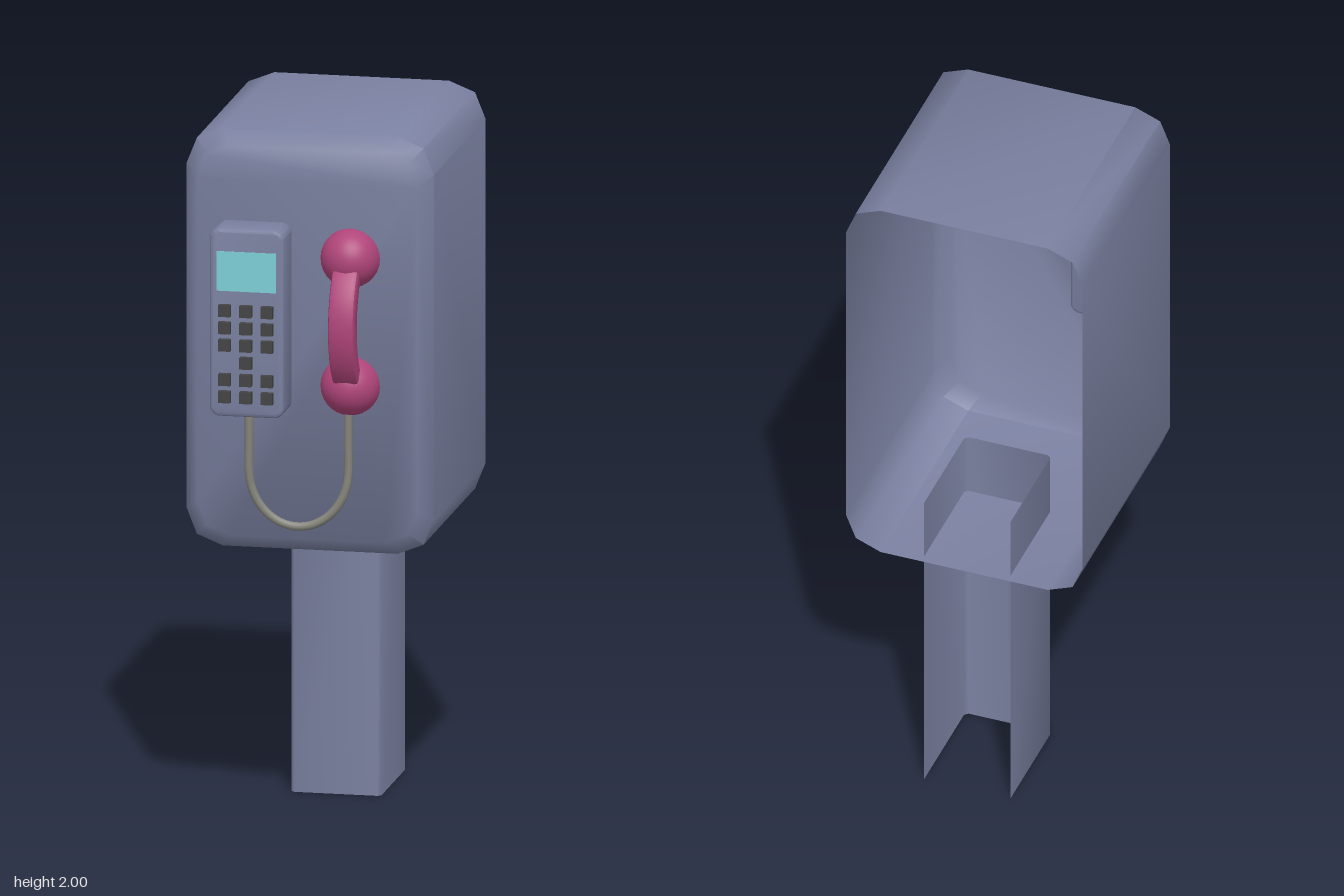
import * as THREE from 'three';
import { toCreasedNormals } from 'three/addons/utils/BufferGeometryUtils.js';

const paint = (color, side = THREE.FrontSide) => new THREE.MeshStandardMaterial({ color, side });

function add(group, name, geometry, material, x = 0, y = 0, z = 0) {
  const mesh = new THREE.Mesh(geometry, material);
  mesh.name = name;
  mesh.position.set(x, y, z);
  group.add(mesh);
  return mesh;
}

// Joins equal rings of points with quads; can cap the last ring with a fan.
function loft(rings, closed, cap) {
  const n = rings[0].length, index = [];
  for (let r = 0; r < rings.length - 1; r++) {
    for (let i = 0; i < (closed ? n : n - 1); i++) {
      const j = (i + 1) % n, a = r * n + i, b = r * n + j;
      index.push(a, b, b + n, a, b + n, a + n);
    }
  }
  const last = (rings.length - 1) * n;
  if (cap) for (let i = 1; i < n - 1; i++) index.push(last, last + i, last + i + 1);
  const g = new THREE.BufferGeometry();
  g.setAttribute('position', new THREE.Float32BufferAttribute(rings.flat(2), 3));
  g.setIndex(index);
  return toCreasedNormals(g, 0.9);
}

function roundedRect(w, h, r) {
  const s = new THREE.Shape(), x = w / 2 - r, y = h / 2 - r;
  s.absarc(x, y, r, 0, Math.PI / 2);
  s.absarc(-x, y, r, Math.PI / 2, Math.PI);
  s.absarc(-x, -y, r, Math.PI, Math.PI * 1.5);
  s.absarc(x, -y, r, Math.PI * 1.5, Math.PI * 2);
  s.closePath();
  return s;
}

export function createModel() {
  const model = new THREE.Group();
  model.name = 'payPhone';
  const shell = paint(0x7a80a0, THREE.DoubleSide);
  const pink = paint(0xb0457a);
  const dark = paint(0x444444);

  // Hood: thin shell, open at the back, bevelled round the front
  const cy = 1.395, hw = 0.357, hh = 0.605;
  const corner = [[hw, hh - 0.105], [hw - 0.03, hh - 0.03], [hw - 0.105, hh]];
  const flip = (sx, sy) => corner.map(([x, y]) => [x * sx, y * sy]);
  const outline = [...flip(1, 1), ...flip(-1, 1).reverse(), ...flip(-1, -1), ...flip(1, -1).reverse()];
  const ring = (inset, z) => outline.map(([x, y]) =>
    [x * (1 - inset / hw), cy + y * (1 - inset / hh), z]);
  add(model, 'hood', loft([ring(0, -0.455), ring(0, 0.25), ring(0.04, 0.29)], true, true), shell);

  // Post: channel open at the back, top and bottom
  const channel = [[0.13, -0.43], [0.13, -0.11], [0.12, -0.1], [-0.12, -0.1], [-0.13, -0.11], [-0.13, -0.43]];
  const level = y => channel.map(([x, z]) => [x, y, z]).reverse();
  add(model, 'post', loft([level(0), level(0.98)], false, false), shell);

  // Keypad unit with screen and buttons
  const keypad = new THREE.Group();
  keypad.name = 'keypad';
  keypad.position.set(-0.1525, 1.4725, 0.285);
  model.add(keypad);
  const bevel = 0.01;
  const housing = new THREE.ExtrudeGeometry(roundedRect(0.215, 0.545, 0.03), {
    depth: 0.115 - bevel, bevelThickness: bevel, bevelSize: bevel, bevelOffset: -bevel,
    bevelSegments: 3, curveSegments: 5,
  });
  add(keypad, 'keypadHousing', toCreasedNormals(housing, 0.7), paint(0x7a80a0));
  add(keypad, 'screen', new THREE.BoxGeometry(0.172, 0.115, 0.006), paint(0x7fd0d8), 0, 0.15, 0.1135);
  const button = new THREE.BoxGeometry(0.034, 0.034, 0.022);
  for (let row = 0; row < 6; row++) {
    for (let col = -1; col <= 1; col++) {
      if (row === 3 && col !== 0) continue;
      add(keypad, 'button', button, dark, col * 0.061, 0.0375 - row * 0.05, 0.122);
    }
  }

  // Handset: curved grip between two half-sphere cups
  const handset = new THREE.Group();
  handset.name = 'handset';
  handset.position.set(0.13, 1.473, 0);
  model.add(handset);
  const arc = 0.86, b = 0.012, width = 0.076;
  const gripShape = new THREE.Shape();
  gripShape.absarc(0.211, 0, 0.244, -arc, arc, false);
  gripShape.absarc(0.211, 0, 0.187, arc, -arc, true);
  gripShape.closePath();
  const grip = new THREE.ExtrudeGeometry(gripShape, {
    depth: width - 2 * b, bevelThickness: b, bevelSize: b, bevelOffset: -b,
    bevelSegments: 2, curveSegments: 16,
  });
  grip.translate(0, 0, -(width - 2 * b) / 2).rotateY(-Math.PI / 2);
  add(handset, 'grip', toCreasedNormals(grip, 0.7), pink);
  const dome = new THREE.SphereGeometry(0.085, 28, 10, 0, Math.PI * 2, 0, Math.PI / 2).rotateX(Math.PI / 2);
  const disc = new THREE.CircleGeometry(0.085, 28).rotateY(Math.PI);
  for (const s of [1, -1]) {
    add(handset, 'cup', dome, pink, 0, s * 0.185, 0.315);
    add(handset, 'cupFace', disc, pink, 0, s * 0.185, 0.315);
  }

  // Cord: hangs in a U from the keypad to the lower cup
  const points = [new THREE.Vector3(-0.152, 1.22, 0.367), new THREE.Vector3(-0.152, 1.12, 0.367)];
  for (let i = 0; i <= 12; i++) {
    const t = Math.PI * (1 + i / 12);
    points.push(new THREE.Vector3(-0.012 + 0.14 * Math.cos(t), 1.04 + 0.16 * Math.sin(t), 0.367 - 0.03 * i / 12));
  }
  points.push(new THREE.Vector3(0.128, 1.12, 0.337), new THREE.Vector3(0.128, 1.25, 0.337));
  const cord = new THREE.TubeGeometry(new THREE.CatmullRomCurve3(points), 60, 0.0125, 8);
  add(model, 'cord', cord, paint(0x85857c));

  return model;
}
